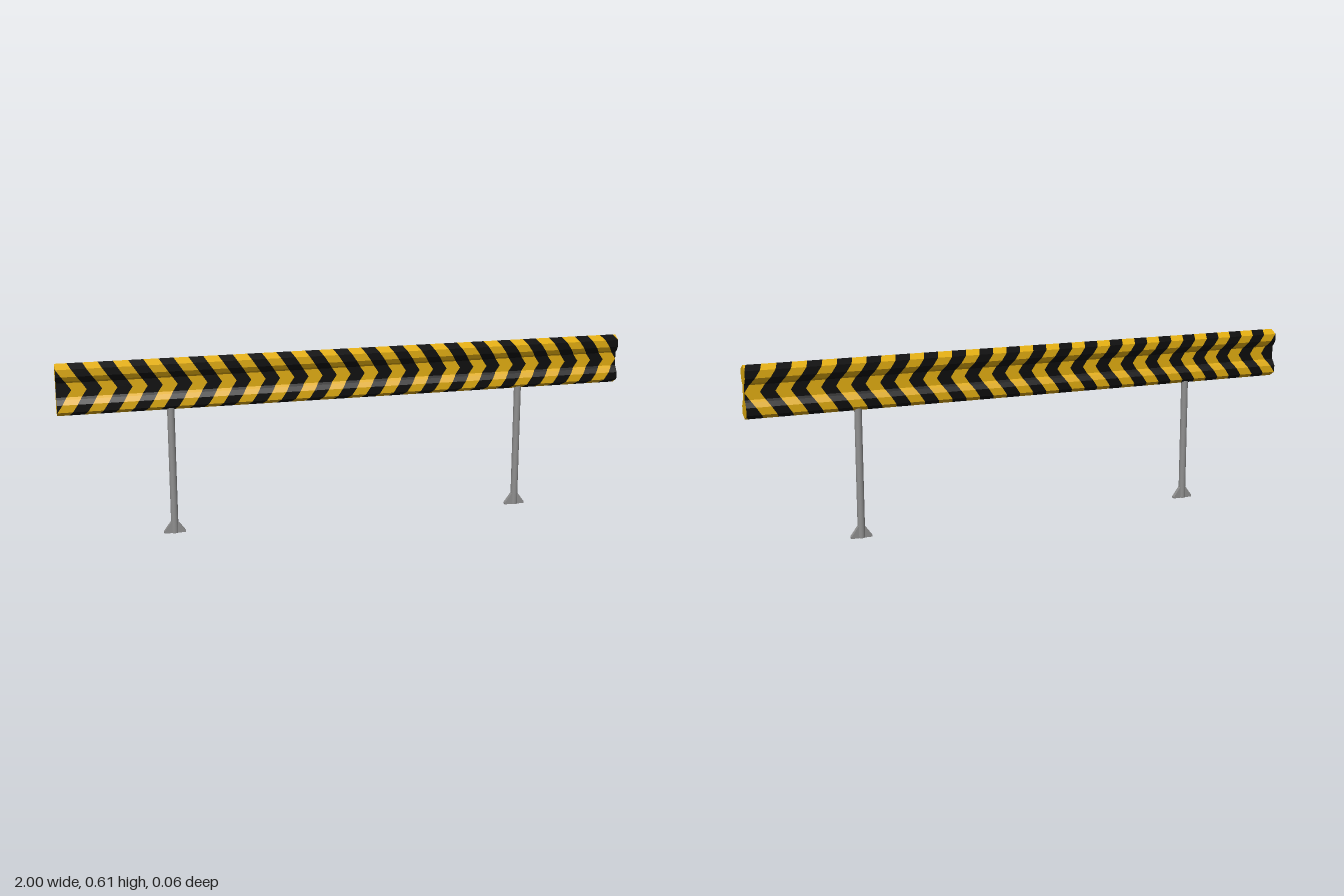
import * as THREE from 'three';

const yellow = new THREE.MeshStandardMaterial({ color: 0xdfab10 });
yellow.name = 'safetyYellow';
const black = new THREE.MeshStandardMaterial({ color: 0x0c0c0c });
black.name = 'stripeBlack';
const grey = new THREE.MeshStandardMaterial({ color: 0x8f8f8f });
grey.name = 'steelGrey';

const MID = 0.525, HALF = 0.088, PITCH = 0.1;

// Half cross-section of the rail, [z, y above the middle], top to waist
const quarter = [[0, 0.088], [0.0277, 0.072], [0.0277, 0.047], [0.018, 0.031], [0.011, 0.024], [0.011, 0]];
const frontSide = [...quarter, ...quarter.slice(0, -1).reverse().map(([z, y]) => [z, -y])];
const backSide = frontSide.slice(1, -1).reverse().map(([z, y]) => [-z, y]);
const profile = [...frontSide, ...backSide];

// One colour of the chevron stripes, wrapped around the whole profile
function stripes(offset) {
  const pos = [];
  const edge = (y, start) => THREE.MathUtils.clamp(start + 0.06 * (1 - Math.abs(y) / HALF), -1, 1);
  const steps = 4;
  profile.forEach((p, i) => {
    const q = profile[(i + 1) % profile.length];
    for (let s = 0; s < steps; s++) {
      const [z0, y0] = [0, 1].map((c) => p[c] + (q[c] - p[c]) * s / steps);
      const [z1, y1] = [0, 1].map((c) => p[c] + (q[c] - p[c]) * (s + 1) / steps);
      for (let k = -1; k <= 21; k++) {
        const start = -1.06 + offset + k * PITCH, end = start + PITCH / 2;
        const a = [edge(y0, start), MID + y0, z0], b = [edge(y0, end), MID + y0, z0];
        const c = [edge(y1, end), MID + y1, z1], d = [edge(y1, start), MID + y1, z1];
        if (b[0] - a[0] < 1e-6 && c[0] - d[0] < 1e-6) continue;
        pos.push(...d, ...c, ...b, ...d, ...b, ...a);
      }
    }
  });
  const g = new THREE.BufferGeometry();
  g.setAttribute('position', new THREE.Float32BufferAttribute(pos, 3));
  g.computeVertexNormals();
  return g;
}

function add(parent, name, geometry, material) {
  const mesh = new THREE.Mesh(geometry, material);
  mesh.name = name;
  parent.add(mesh);
  return mesh;
}

export function createModel() {
  const model = new THREE.Group();
  model.name = 'barrier';

  // Striped rail with plain end caps
  const rail = new THREE.Group();
  rail.name = 'rail';
  model.add(rail);
  add(rail, 'blackStripes', stripes(0), black);
  add(rail, 'yellowStripes', stripes(PITCH / 2), yellow);
  const section = new THREE.Shape(profile.map(([z, y]) => new THREE.Vector2(z, y + MID)));
  for (const side of [-1, 1]) {
    const cap = add(rail, side > 0 ? 'leftEndCap' : 'rightEndCap', new THREE.ShapeGeometry(section), yellow);
    cap.rotation.y = side * Math.PI / 2;
    cap.position.x = side;
  }

  // Round posts with tapered gussets at the foot
  const fin = new THREE.Shape([[-0.037, 0], [0.037, 0], [0.037, 0.006], [0.012, 0.04], [-0.012, 0.04], [-0.037, 0.006]]
    .map(([x, y]) => new THREE.Vector2(x, y)));
  for (const side of [-1, 1]) {
    const post = new THREE.Group();
    post.name = side > 0 ? 'leftPost' : 'rightPost';
    post.position.x = side * 0.625;
    model.add(post);
    add(post, 'pole', new THREE.CylinderGeometry(0.0125, 0.0125, 0.45, 16), grey).position.y = 0.225;
    const gusset = new THREE.ExtrudeGeometry(fin, { depth: 0.014, bevelEnabled: false });
    add(post, 'footGusset', gusset, grey).position.z = -0.007;
  }
  return model;
}
